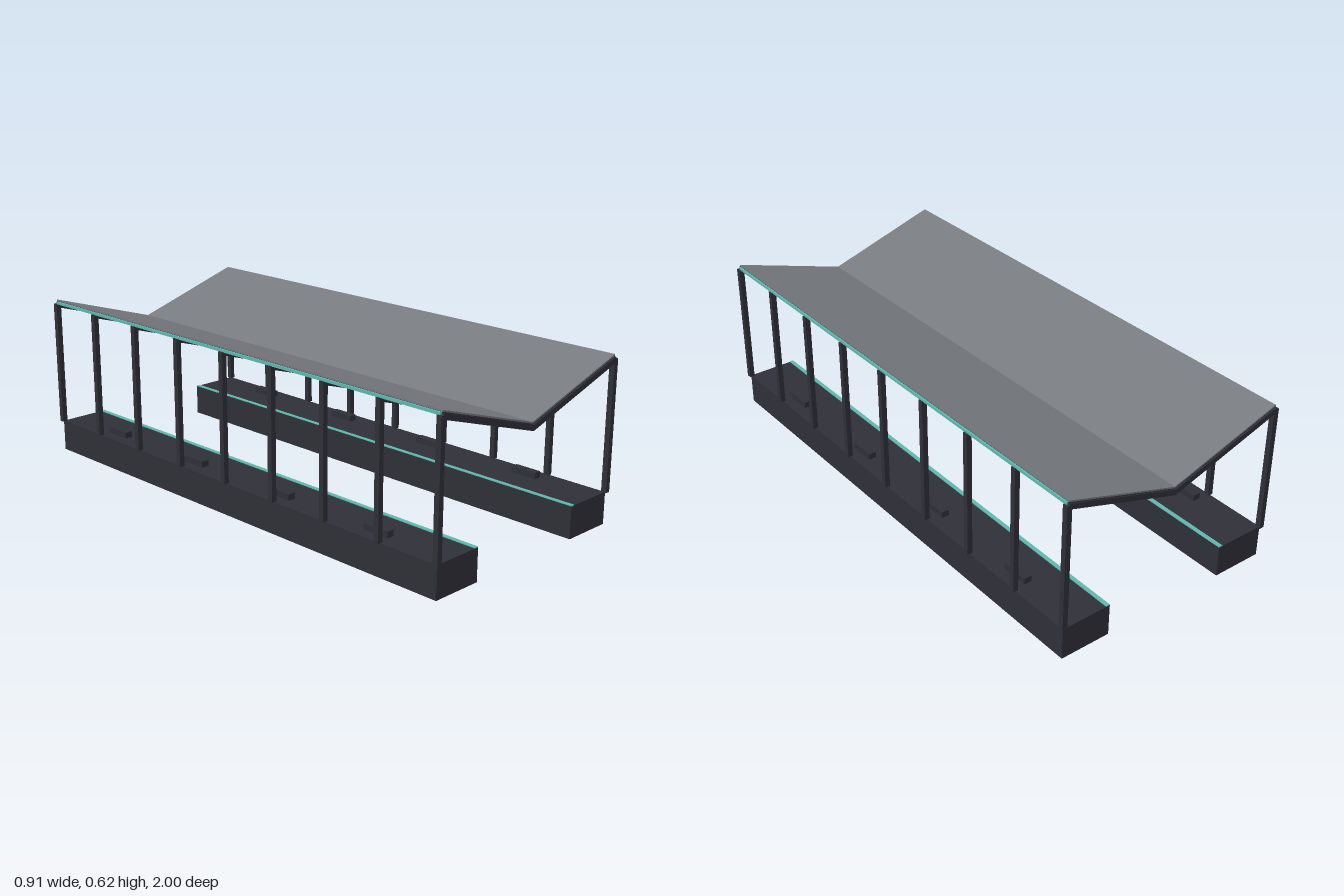
import * as THREE from 'three';

export function createModel() {
  const model = new THREE.Group();
  const mat = (name, color) => {
    const m = new THREE.MeshStandardMaterial({ color });
    m.name = name;
    return m;
  };
  const dark = mat('dark steel', 0x2f2f38);
  const grey = mat('grey roofing', 0x777a7f);
  const teal = mat('teal trim', 0x5fb8ae);

  const add = (name, geometry, material, x = 0, y = 0, z = 0) => {
    const mesh = new THREE.Mesh(geometry, material);
    mesh.name = name;
    mesh.position.set(x, y, z);
    model.add(mesh);
  };

  // V-shaped band: valley height, vertical thickness, half width, length in z
  const rise = 0.139 / 0.443;
  const vBand = (bottom, thickness, half, length) => {
    const edge = bottom + rise * half;
    const shape = new THREE.Shape();
    shape.moveTo(0, bottom);
    shape.lineTo(half, edge);
    shape.lineTo(half, edge + thickness);
    shape.lineTo(0, bottom + thickness);
    shape.lineTo(-half, edge + thickness);
    shape.lineTo(-half, edge);
    shape.closePath();
    return new THREE.ExtrudeGeometry(shape, { depth: length, bevelEnabled: false })
      .translate(0, 0, -length / 2);
  };

  // Butterfly roof: dark soffit under a grey sheet
  add('roofSoffit', vBand(0.470, 0.004, 0.443, 1.99), dark);
  add('roofSheet', vBand(0.474, 0.006, 0.443, 1.99), grey);

  // Frames: one rafter pair and two columns per bay line
  const rafter = vBand(0.45, 0.021, 0.443, 0.02);
  const column = new THREE.BoxGeometry(0.02, 0.483, 0.02);
  for (let i = 0; i < 9; i++) {
    const z = -0.99 + i * 0.2475;
    add('rafter', rafter, dark, 0, 0, z);
    for (const side of [-1, 1]) add('column', column, dark, side * 0.445, 0.3615, z);
  }

  // Platforms with edge strips, eave strips and benches on both sides
  for (const side of [-1, 1]) {
    add('platform', new THREE.BoxGeometry(0.197, 0.12, 1.98), dark, side * 0.3465, 0.06, 0);
    add('platformEdgeStrip', new THREE.BoxGeometry(0.015, 0.004, 1.98), teal, side * 0.2555, 0.121, 0);
    add('eaveStrip', new THREE.BoxGeometry(0.008, 0.01, 1.98), teal, side * 0.446, 0.607, 0);
    for (const z of [-0.69, -0.23, 0.23, 0.69]) {
      add('bench', new THREE.BoxGeometry(0.03, 0.024, 0.105), dark, side * 0.386, 0.131, z);
    }
  }
  return model;
}
